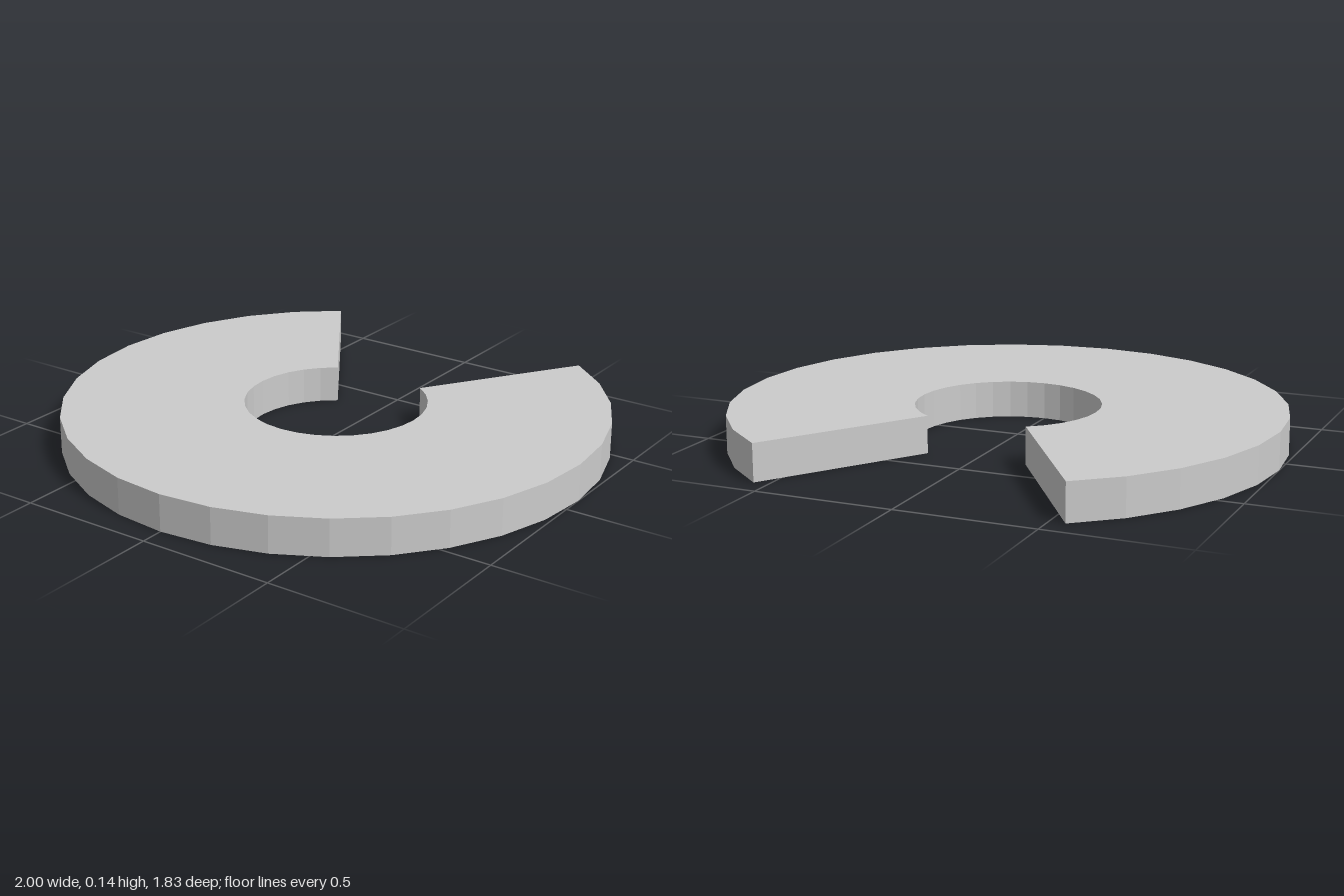
import * as THREE from 'three';

const OUTER = 1, INNER = 0.335, HEIGHT = 0.135;
const STEP = Math.PI / 16;   // 32 sides to the full circle
const SEGMENTS = 26;         // six sides left open at the back
const HALF_GAP = 3 * STEP;

// Points along the open arc, counter-clockwise from one side of the gap
function arc(radius) {
  return Array.from({ length: SEGMENTS + 1 }, (_, i) => {
    const a = Math.PI / 2 + HALF_GAP + i * STEP;
    return new THREE.Vector2(radius * Math.cos(a), radius * Math.sin(a));
  });
}

export function createModel() {
  const group = new THREE.Group();
  group.name = 'slottedWasher';

  // Flat ring with a wedge cut out, extruded upwards
  const shape = new THREE.Shape([...arc(OUTER), ...arc(INNER).reverse()]);
  const geometry = new THREE.ExtrudeGeometry(shape, { depth: HEIGHT, bevelEnabled: false });
  geometry.rotateX(-Math.PI / 2);

  // Centre the open ring front to back
  geometry.translate(0, 0, -(OUTER - OUTER * Math.cos(HALF_GAP)) / 2);

  const ring = new THREE.Mesh(
    geometry,
    new THREE.MeshStandardMaterial({ color: 0xcccccc, flatShading: true })
  );
  ring.name = 'openRing';
  group.add(ring);
  return group;
}
